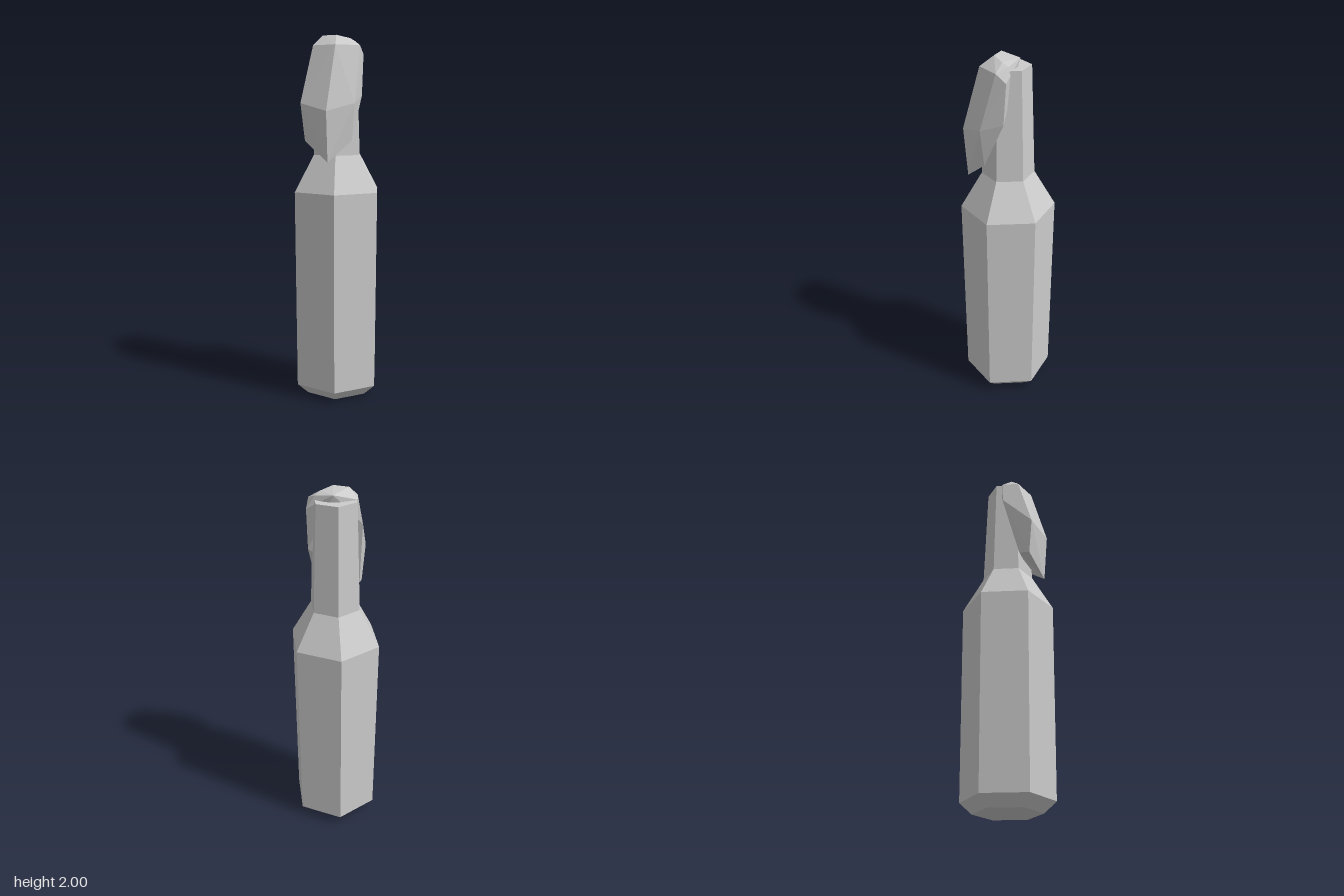
import * as THREE from 'three';
import { ConvexGeometry } from 'three/addons/geometries/ConvexGeometry.js';

export function createModel() {
  const model = new THREE.Group();
  model.name = 'bottleWithRag';
  const material = new THREE.MeshStandardMaterial({ color: 0xcccccc, flatShading: true });
  const add = (name, geometry) => {
    const mesh = new THREE.Mesh(geometry, material);
    mesh.name = name;
    model.add(mesh);
  };

  // Six-sided bottle: base bevel, body, shoulder, neck and closed top (radius, height)
  const profile = [
    [0, 0], [0.185, 0], [0.25, 0.06], [0.258, 1.16], [0.142, 1.36], [0.12, 1.95], [0, 1.95],
  ].map(([r, y]) => new THREE.Vector2(r, y));
  add('bottle', new THREE.LatheGeometry(profile, 6, Math.PI / 2));

  // Faceted rag draped over the mouth and hanging down the front
  const rag = [
    // crown
    [-0.015, 1.99, -0.06], [-0.05, 2, 0.063], [0.035, 2, 0.06], [0.08, 1.985, -0.008],
    // upper fold
    [-0.11, 1.95, 0.035], [-0.072, 1.945, 0.125], [0.072, 1.945, 0.125],
    [0.145, 1.945, -0.003], [0.135, 1.9, -0.055], [0.09, 1.97, -0.045],
    // widest part
    [-0.13, 1.82, 0.055], [-0.085, 1.64, 0.225], [0.08, 1.6, 0.225],
    [0.165, 1.64, 0.08], [0.135, 1.68, -0.04],
    // lower hem
    [-0.075, 1.44, 0.2], [-0.085, 1.45, 0.14], [0.075, 1.33, 0.205], [0.14, 1.44, 0.07],
  ].map((p) => new THREE.Vector3(...p));
  add('rag', new ConvexGeometry(rag));

  return model;
}
